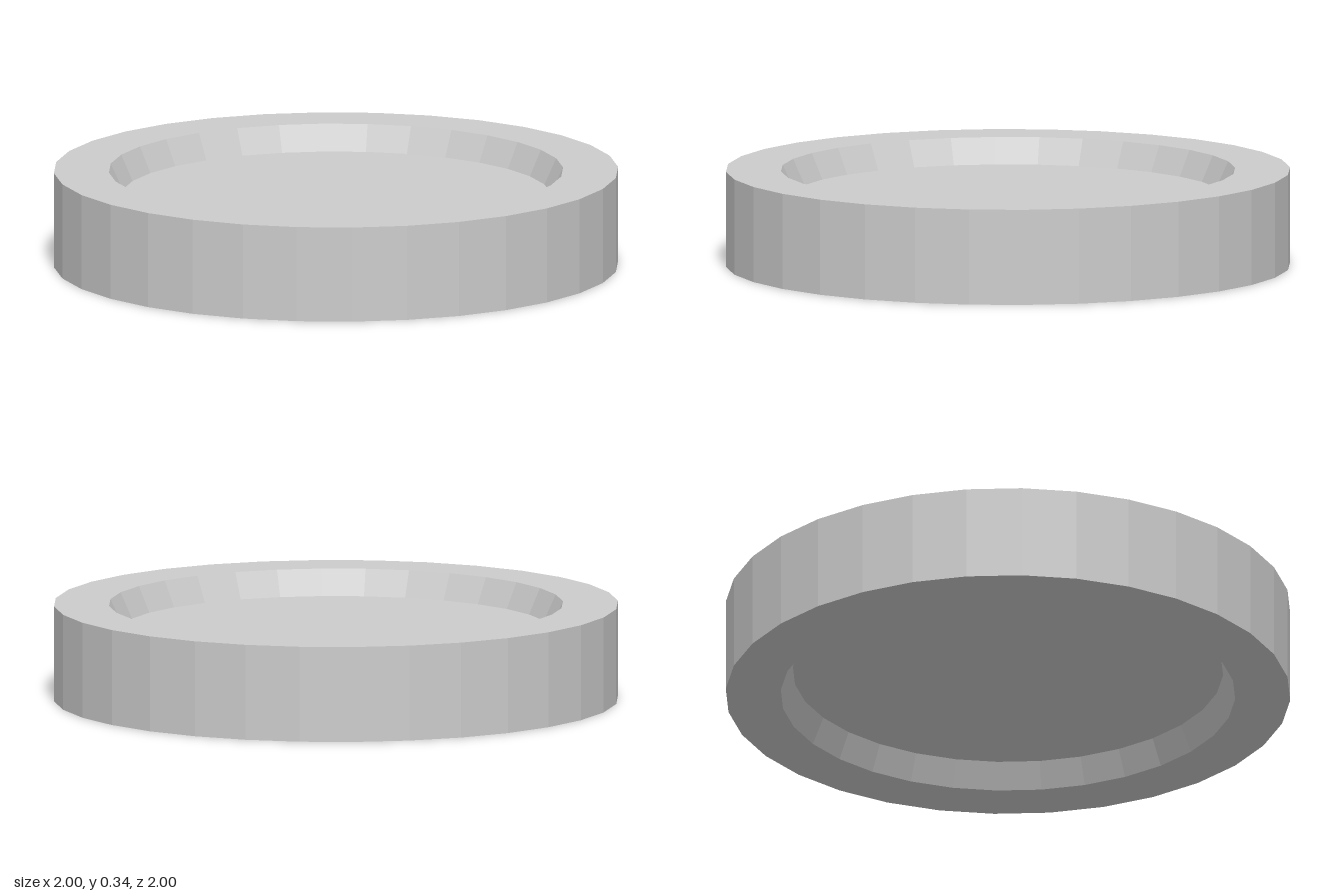
import * as THREE from 'three';

export function createModel() {
  const group = new THREE.Group();
  group.name = 'recessedDisc';

  const height = 0.34, recess = 0.092;
  const outerRadius = 1, lipRadius = 0.805, floorRadius = 0.762;

  // Half profile from the underside centre, around the rim, to the top centre
  const profile = [
    [0, recess],
    [floorRadius, recess],
    [lipRadius, 0],
    [outerRadius, 0],
    [outerRadius, height],
    [lipRadius, height],
    [floorRadius, height - recess],
    [0, height - recess],
  ].map(([r, y]) => new THREE.Vector2(r, y));

  // Faceted disc with a shallow sloped recess on both faces
  const disc = new THREE.Mesh(
    new THREE.LatheGeometry(profile, 32),
    new THREE.MeshStandardMaterial({ color: 0xcccccc, flatShading: true })
  );
  disc.name = 'disc';
  group.add(disc);

  return group;
}
